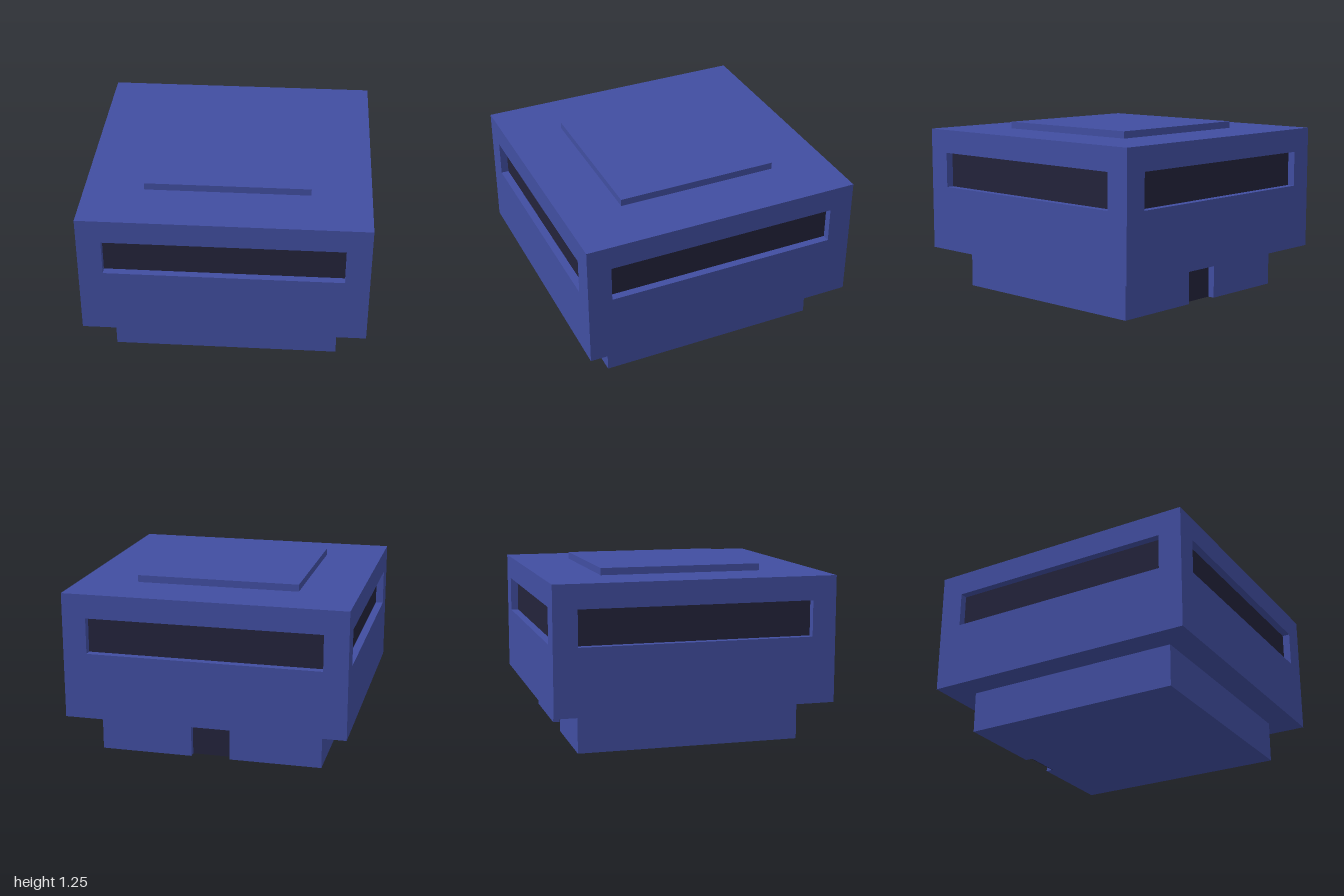
import * as THREE from 'three';

const blue = new THREE.MeshStandardMaterial({ name: 'blue', color: 0x414ea1 });
const dark = new THREE.MeshStandardMaterial({ name: 'darkGlass', color: 0x23233b });

const RECESS = 0.06;
const WINDOW = { w: 1.66, bottom: 0.775, top: 1.03 };

function box(name, material, w, h, d, x, y, z) {
  const mesh = new THREE.Mesh(new THREE.BoxGeometry(w, h, d), material);
  mesh.name = name;
  mesh.position.set(x, y, z);
  return mesh;
}

function polygon(Type, points) {
  return new Type(points.map(([x, y]) => new THREE.Vector2(x, y)));
}

// Wall slab with a window opening, mitred at its ends to meet its neighbours
function wallGeometry() {
  const a = WINDOW.w / 2;
  const shape = polygon(THREE.Shape, [[-1, 0.3], [1, 0.3], [1, 1.2], [-1, 1.2]]);
  shape.holes.push(polygon(THREE.Path, [
    [-a, WINDOW.bottom], [-a, WINDOW.top], [a, WINDOW.top], [a, WINDOW.bottom],
  ]));
  const geo = new THREE.ExtrudeGeometry(shape, { depth: RECESS, bevelEnabled: false });
  geo.translate(0, 0, 1 - RECESS);
  const p = geo.attributes.position;
  for (let i = 0; i < p.count; i++) {
    if (Math.abs(p.getX(i)) > 0.9 && p.getZ(i) < 0.97) {
      p.setX(i, Math.sign(p.getX(i)) * (1 - RECESS));
    }
  }
  geo.computeVertexNormals();
  return geo;
}

// Base block with a doorway notch in the back
function baseGeometry() {
  const shape = polygon(THREE.Shape, [
    [-0.8, -0.8], [0.8, -0.8], [0.8, 0.8],
    [0.14, 0.8], [0.14, 0.745], [-0.14, 0.745], [-0.14, 0.8], [-0.8, 0.8],
  ]);
  const geo = new THREE.ExtrudeGeometry(shape, { depth: 0.3, bevelEnabled: false });
  return geo.rotateX(-Math.PI / 2);
}

export function createModel() {
  const model = new THREE.Group();
  model.name = 'bunker';

  const base = new THREE.Mesh(baseGeometry(), blue);
  base.name = 'base';
  model.add(base);
  model.add(box('doorway', dark, 0.28, 0.3, 0.005, 0, 0.15, -0.7475));

  // Upper body: solid core wrapped by four windowed walls
  const inner = 2 * (1 - RECESS);
  model.add(box('bodyCore', blue, inner, 0.9, inner, 0, 0.75, 0));
  const wallGeo = wallGeometry();
  ['front', 'left', 'back', 'right'].forEach((side, i) => {
    const group = new THREE.Group();
    group.name = side + 'Side';
    group.rotation.y = i * Math.PI / 2;
    const wall = new THREE.Mesh(wallGeo, blue);
    wall.name = side + 'Wall';
    const { w, bottom, top } = WINDOW;
    const pane = box(side + 'Window', dark, w, top - bottom, 0.005,
      0, (top + bottom) / 2, 1 - RECESS + 0.0025);
    group.add(wall, pane);
    model.add(group);
  });

  // Raised roof panel
  model.add(box('roofHatch', blue, 1.16, 0.05, 1.16, 0, 1.225, 0));
  return model;
}
